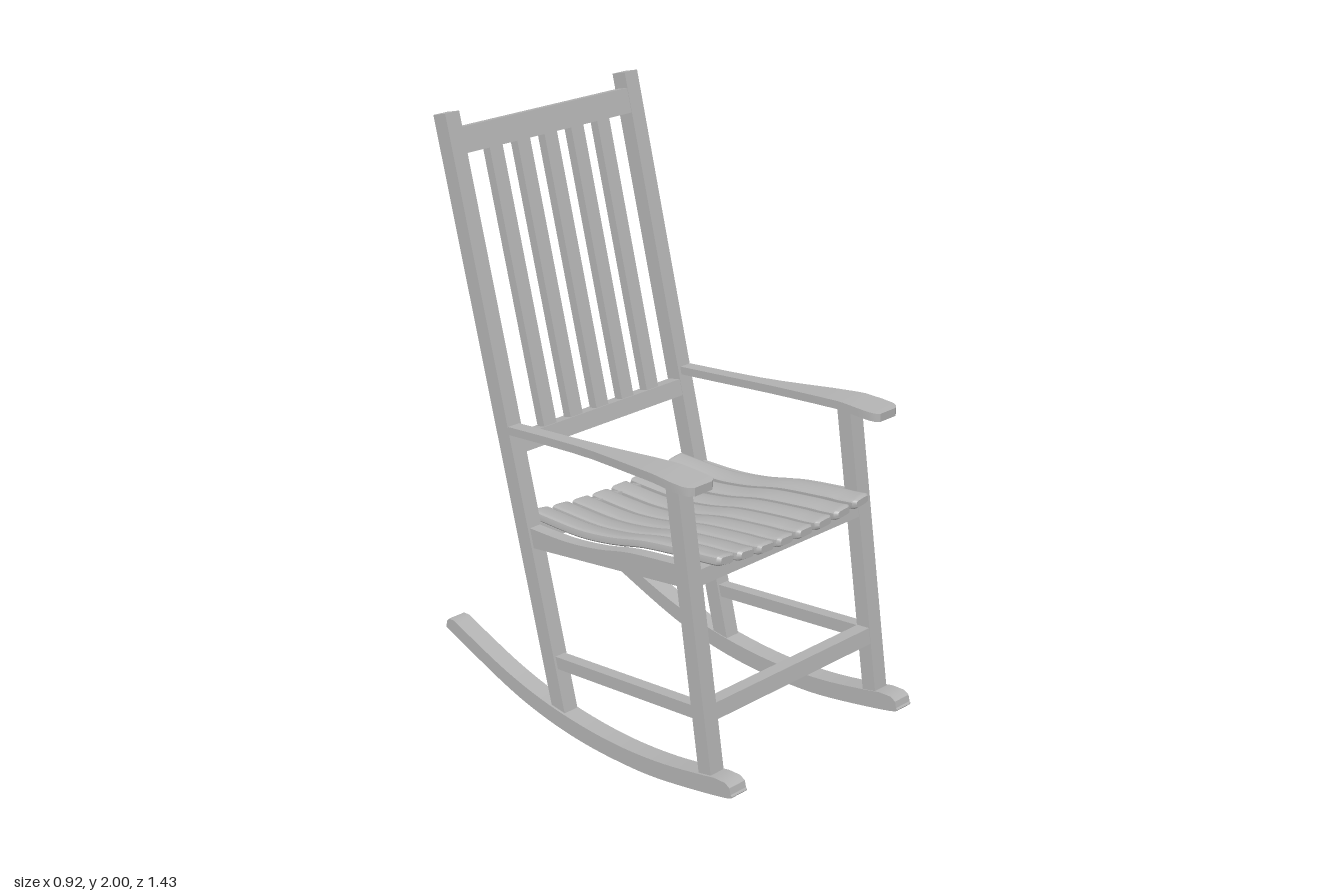
import * as THREE from 'three';
import { toCreasedNormals } from 'three/addons/utils/BufferGeometryUtils.js';

export function createModel() {
  const model = new THREE.Group();
  const wood = new THREE.MeshStandardMaterial({ color: 0xb4b4b4 });
  wood.name = 'grey wood';

  function add(name, geometry) {
    const mesh = new THREE.Mesh(toCreasedNormals(geometry, 0.6), wood);
    mesh.name = name;
    model.add(mesh);
  }

  // Side profile given as [z, y] points, extruded across x from x0 to x1
  function profile(name, points, x0, x1) {
    const shape = new THREE.Shape(points.map(([z, y]) => new THREE.Vector2(z, y)));
    const geo = new THREE.ExtrudeGeometry(shape, { depth: x1 - x0, bevelEnabled: false });
    geo.rotateY(-Math.PI / 2);
    geo.translate(x1, 0, 0);
    add(name, geo);
  }

  function pair(name, points, x0, x1) {
    profile(name + 'Left', points, x0, x1);
    profile(name + 'Right', points, -x1, -x0);
  }

  // Skin over rings of [x, y, z] points, counter-clockwise seen from +z, z increasing
  function loft(name, rings) {
    const n = rings[0].length, index = [], last = (rings.length - 1) * n;
    for (let i = 0; i < rings.length - 1; i++) {
      for (let j = 0; j < n; j++) {
        const a = i * n + j, b = i * n + (j + 1) % n;
        index.push(a, b, b + n, a, b + n, a + n);
      }
    }
    for (let j = 1; j < n - 1; j++) {
      index.push(0, j + 1, j, last, last + j, last + j + 1);
    }
    const geo = new THREE.BufferGeometry();
    geo.setAttribute('position', new THREE.Float32BufferAttribute(rings.flat(2), 3));
    geo.setIndex(index);
    add(name, geo);
  }

  const spline = (points, count) => new THREE.SplineCurve(
    points.map(([z, y]) => new THREE.Vector2(z, y))).getPoints(count).map((p) => [p.x, p.y]);

  // Leaning member: its front edge runs along a line, thickness goes square to it
  function leaning(base, slope, y0, y1, inset, thick) {
    const len = Math.hypot(1, slope), n = [-1 / len, -slope / len];
    const corner = (y, d) => [base + slope * -y + n[0] * d, y + n[1] * d];
    return [corner(y0, inset), corner(y1, inset), corner(y1, inset + thick), corner(y0, inset + thick)];
  }
  const back = (y0, y1, inset = 0, thick = 0.064) => leaning(-0.064, 0.268, y0, y1, inset, thick);
  const front = (y0, y1, inset = 0, thick = 0.056) => leaning(0.645, 0.163, y0, y1, inset, thick);

  // Rockers
  pair('rocker', [
    ...spline([[0.715, 0.14], [0.69, 0.116], [0.4, 0.043], [0.2, 0.014], [0, 0.003],
      [-0.2, 0.014], [-0.4, 0.05], [-0.71, 0.138]], 40),
    [-0.708, 0.163], [-0.695, 0.177], [-0.665, 0.181],
    ...spline([[-0.64, 0.173], [-0.4, 0.108], [-0.2, 0.075], [0, 0.065],
      [0.2, 0.074], [0.4, 0.104], [0.595, 0.152]], 32),
    [0.64, 0.165], [0.69, 0.17], [0.71, 0.16],
  ], 0.342, 0.408);

  // Posts and legs
  pair('backPost', back(0.05, 2.0), 0.345, 0.4);
  pair('frontLeg', front(0.12, 1.115), 0.345, 0.4);

  // Backrest
  profile('backTopRail', back(1.87, 1.95, 0.002, 0.058), -0.35, 0.35);
  profile('backLowerRail', back(0.925, 0.98, 0.002, 0.058), -0.35, 0.35);
  for (let i = -2; i <= 2; i++) {
    const x = i * 0.1125;
    profile('backSlat', back(0.965, 1.89, 0.008, 0.036), x - 0.026, x + 0.026);
  }

  // Stretchers
  profile('frontStretcher', front(0.325, 0.38, 0.002, 0.052), -0.35, 0.35);
  pair('sideStretcher', [[0.56, 0.325], [0.56, 0.37], [-0.14, 0.256], [-0.14, 0.212]], 0.352, 0.392);

  // Seat frame
  const seatCurve = [[-0.31, 0.712], [-0.25, 0.715], [-0.07, 0.728], [0.09, 0.76],
    [0.245, 0.805], [0.43, 0.842], [0.51, 0.855], [0.575, 0.868]];
  profile('frontSeatRail', front(0.762, 0.812, 0.002, 0.05), -0.35, 0.35);
  profile('backSeatRail', back(0.63, 0.69, 0.002, 0.055), -0.35, 0.35);
  pair('sideSeatRail', [[0.48, 0.756], [-0.25, 0.617],
    ...spline([[-0.27, 0.685], [-0.07, 0.705], [0.09, 0.738], [0.245, 0.783], [0.48, 0.828]], 16)],
  0.35, 0.392);

  // Seat slats: a shallow dished surface, each slat rolled to follow it
  const stations = spline(seatCurve, 28);
  for (let k = 0; k < 8; k++) {
    const x = (k - 3.5) * 0.0865, dip = 0.022 * (1 - (x / 0.3) ** 2), roll = 0.47 * x;
    const rings = stations.map(([z, y], i) => {
      const end = Math.min(i, stations.length - 1 - i);
      const size = end === 0 ? 0.72 : 1;
      const cx = x * (1 - 0.025 * (z + 0.31));
      return Array.from({ length: 16 }, (_, j) => {
        const a = j / 16 * Math.PI * 2, c = Math.cos(a), s = Math.sin(a);
        const u = Math.sign(c) * Math.abs(c) ** 0.4 * 0.036 * size;
        const v = Math.sign(s) * Math.abs(s) ** 0.5 * 0.017 * size;
        return [cx + u - v * roll, y - 0.017 - dip + v + u * roll, z];
      });
    });
    loft('seatSlat', rings);
  }

  // Arms: rows of z, inner x, outer x, top y
  const armRows = [[-0.335, 0.355, 0.4, 1.021], [-0.15, 0.355, 0.401, 1.048], [0, 0.356, 0.405, 1.07],
    [0.1, 0.355, 0.413, 1.085], [0.2, 0.352, 0.426, 1.1], [0.3, 0.348, 0.44, 1.115],
    [0.4, 0.345, 0.452, 1.129], [0.43, 0.344, 0.455, 1.132], [0.5, 0.343, 0.458, 1.134],
    [0.545, 0.344, 0.456, 1.135], [0.565, 0.35, 0.448, 1.135], [0.577, 0.362, 0.432, 1.135]];
  for (const side of [1, -1]) {
    loft(side > 0 ? 'armLeft' : 'armRight', armRows.map(([z, a, b, y]) => {
      const x0 = side > 0 ? a : -b, x1 = side > 0 ? b : -a;
      return [[x0, y - 0.028, z], [x1, y - 0.028, z], [x1, y, z], [x0, y, z]];
    }));
  }
  return model;
}
